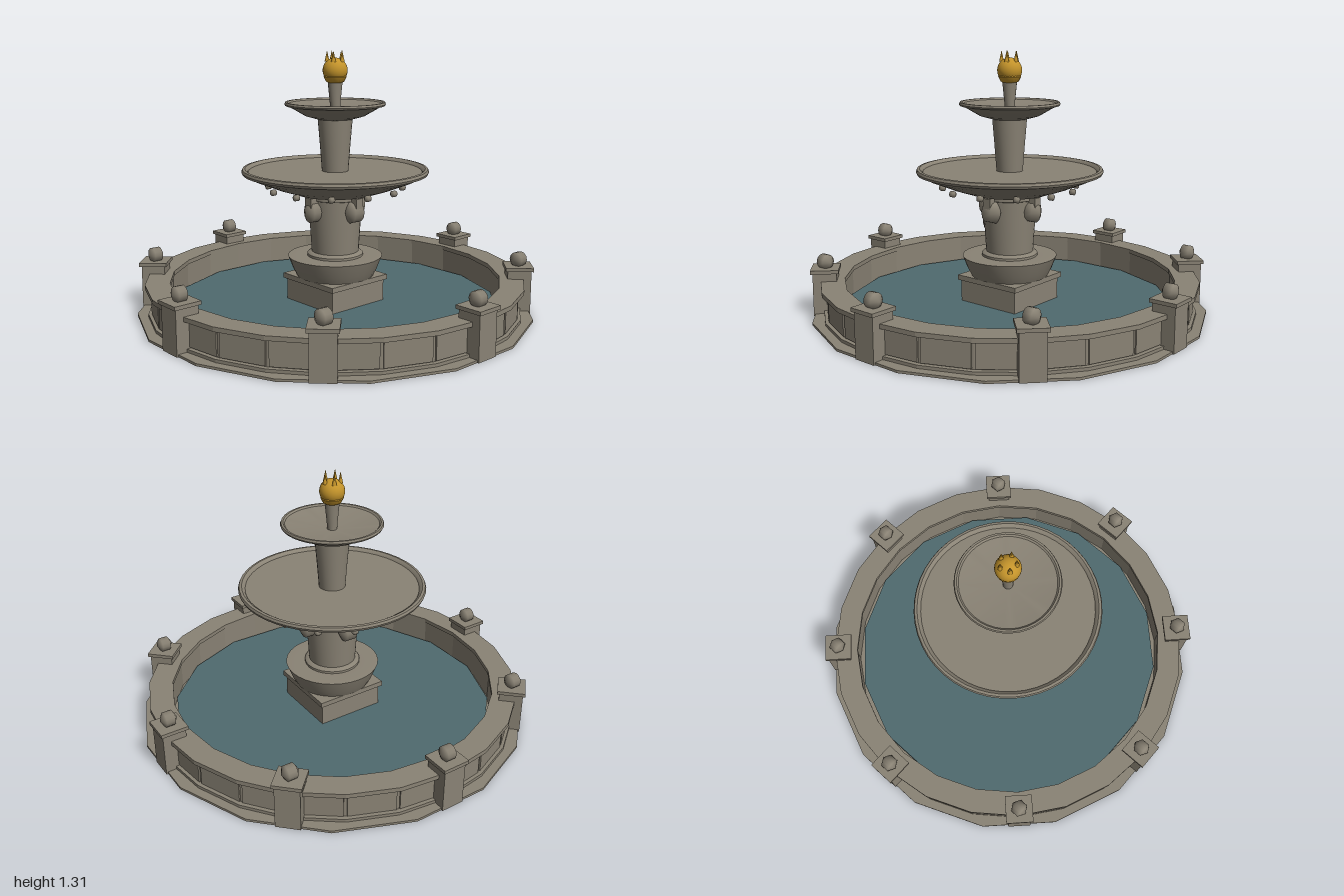
import * as THREE from 'three';
import { toCreasedNormals } from 'three/addons/utils/BufferGeometryUtils.js';

const mat = (name, color) => {
  const m = new THREE.MeshStandardMaterial({ color });
  m.name = name;
  return m;
};

export function createModel() {
  const stone = mat('stone', 0x8a8375);
  const water = mat('water', 0x4f6a6f);
  const gold = mat('gold', 0xc4942b);
  const root = new THREE.Group();
  root.name = 'fountain';

  const add = (name, geo, material, x = 0, y = 0, z = 0, parent = root) => {
    const m = new THREE.Mesh(geo, material);
    m.name = name;
    m.position.set(x, y, z);
    parent.add(m);
    return m;
  };
  // Revolved profile, listed from the bottom up the outside
  const lathe = (name, pts, sides, material = stone, crease = 0.6) =>
    add(name, toCreasedNormals(new THREE.LatheGeometry(
      pts.map(([r, y]) => new THREE.Vector2(r, y)), sides), crease), material);
  // Coarse ball with its poles on the z axis
  const ball = (rx, ry, rz) =>
    new THREE.SphereGeometry(1, 12, 3).rotateX(Math.PI / 2).scale(rx, ry, rz);
  const ring = (count, phase, fn) => {
    for (let i = 0; i < count; i++) fn(phase + (i / count) * Math.PI * 2, i);
  };

  // Ground slab and pool water
  const slab = new THREE.CylinderGeometry(1, 1, 0.012, 16).rotateY(Math.PI / 16);
  add('groundSlab', toCreasedNormals(slab, 0.1), stone, 0, 0.006, 0);
  const pool = new THREE.CylinderGeometry(0.83, 0.83, 0.03, 16).rotateY(Math.PI / 16);
  add('poolWater', toCreasedNormals(pool, 0.1), water, 0, 0.027, 0);

  // Basin wall with footing and coping
  lathe('basinWall', [
    [0.945, 0.0], [0.945, 0.027], [0.922, 0.027], [0.922, 0.155], [0.957, 0.155],
    [0.957, 0.177], [0.835, 0.177], [0.835, 0.155], [0.842, 0.155], [0.842, 0.0],
  ], 24, stone, 0.1);

  // Raised panels on the outside of the wall
  const panelGeo = new THREE.BoxGeometry(0.226, 0.122, 0.012);
  ring(24, Math.PI / 24, (a) => {
    const r = 0.916;
    const p = add('wallPanel', panelGeo, stone, Math.sin(a) * r, 0.092, Math.cos(a) * r);
    p.rotation.y = a;
  });

  // Posts with caps and ball finials
  const postGeo = new THREE.BoxGeometry(0.118, 0.22, 0.118);
  const capGeo = new THREE.BoxGeometry(0.139, 0.018, 0.139);
  const finialGeo = ball(0.043, 0.043, 0.043);
  ring(8, 0, (a) => {
    const x = Math.sin(a) * 0.93, z = Math.cos(a) * 0.93;
    add('post', postGeo, stone, x, 0.11, z).rotation.y = a;
    add('postCap', capGeo, stone, x, 0.227, z).rotation.y = a;
    add('postFinial', finialGeo, stone, x, 0.266, z);
  });

  // Square pedestal
  add('pedestal', new THREE.BoxGeometry(0.35, 0.15, 0.35), stone, 0, 0.08, 0);
  add('pedestalSlab', new THREE.BoxGeometry(0.376, 0.026, 0.376), stone, 0, 0.165, 0);

  // Lower column with its flared foot and neck rings
  lathe('columnFoot', [
    [0.0, 0.176], [0.195, 0.177], [0.215, 0.215], [0.24, 0.28], [0.2, 0.282], [0.14, 0.28], [0, 0.28],
  ], 32);
  lathe('lowerColumn', [
    [0.13, 0.27], [0.142, 0.28], [0.142, 0.292], [0.13, 0.302], [0.12, 0.304],
    [0.126, 0.4], [0.138, 0.575], [0.146, 0.578], [0.146, 0.594], [0.13, 0.6],
  ], 32);

  // Four spout heads around the column
  const headGeo = ball(0.049, 0.062, 0.058);
  const bracketGeo = new THREE.BoxGeometry(0.045, 0.06, 0.05);
  ring(4, 0, (a) => {
    const s = Math.sin(a), c = Math.cos(a);
    add('spoutHead', headGeo, stone, s * 0.142, 0.523, c * 0.142);
    add('spoutBracket', bracketGeo, stone, s * 0.155, 0.565, c * 0.155).rotation.y = a;
  });

  // Large bowl with a shallow floor
  lathe('lowerBowl', [
    [0.0, 0.59], [0.13, 0.59], [0.2, 0.603], [0.31, 0.64], [0.42, 0.685], [0.45, 0.702], [0.465, 0.704],
    [0.47, 0.716], [0.465, 0.728], [0.452, 0.73], [0.44, 0.722], [0.435, 0.714], [0, 0.714],
  ], 48);

  // Drops beneath the large bowl
  const dropGeo = ball(0.018, 0.018, 0.02);
  ring(12, Math.PI / 12, (a) =>
    add('bowlDrop', dropGeo, stone, Math.sin(a) * 0.338, 0.63, Math.cos(a) * 0.338));

  // Upper column and small bowl
  lathe('upperColumn', [[0.066, 0.705], [0.076, 0.84], [0.088, 0.985]], 24);
  lathe('upperBowl', [
    [0.0, 0.975], [0.09, 0.975], [0.15, 0.992], [0.215, 1.03], [0.235, 1.04], [0.248, 1.042],
    [0.252, 1.05], [0.248, 1.06], [0.238, 1.06], [0.23, 1.052], [0, 1.018],
  ], 40);

  // Stem and golden crowned orb
  lathe('stem', [[0.024, 1.01], [0.027, 1.06], [0.038, 1.17]], 16);
  lathe('orbCollar', [
    [0.036, 1.155], [0.045, 1.16], [0.057, 1.183], [0.055, 1.19], [0, 1.19],
  ], 20, gold);
  add('orb', new THREE.SphereGeometry(0.062, 24, 16), gold, 0, 1.215, 0);
  const spikeGeo = new THREE.ConeGeometry(0.013, 0.055, 6);
  ring(5, Math.PI, (a) =>
    add('crownSpike', spikeGeo, gold, Math.sin(a) * 0.04, 1.285, Math.cos(a) * 0.04));

  return root;
}
